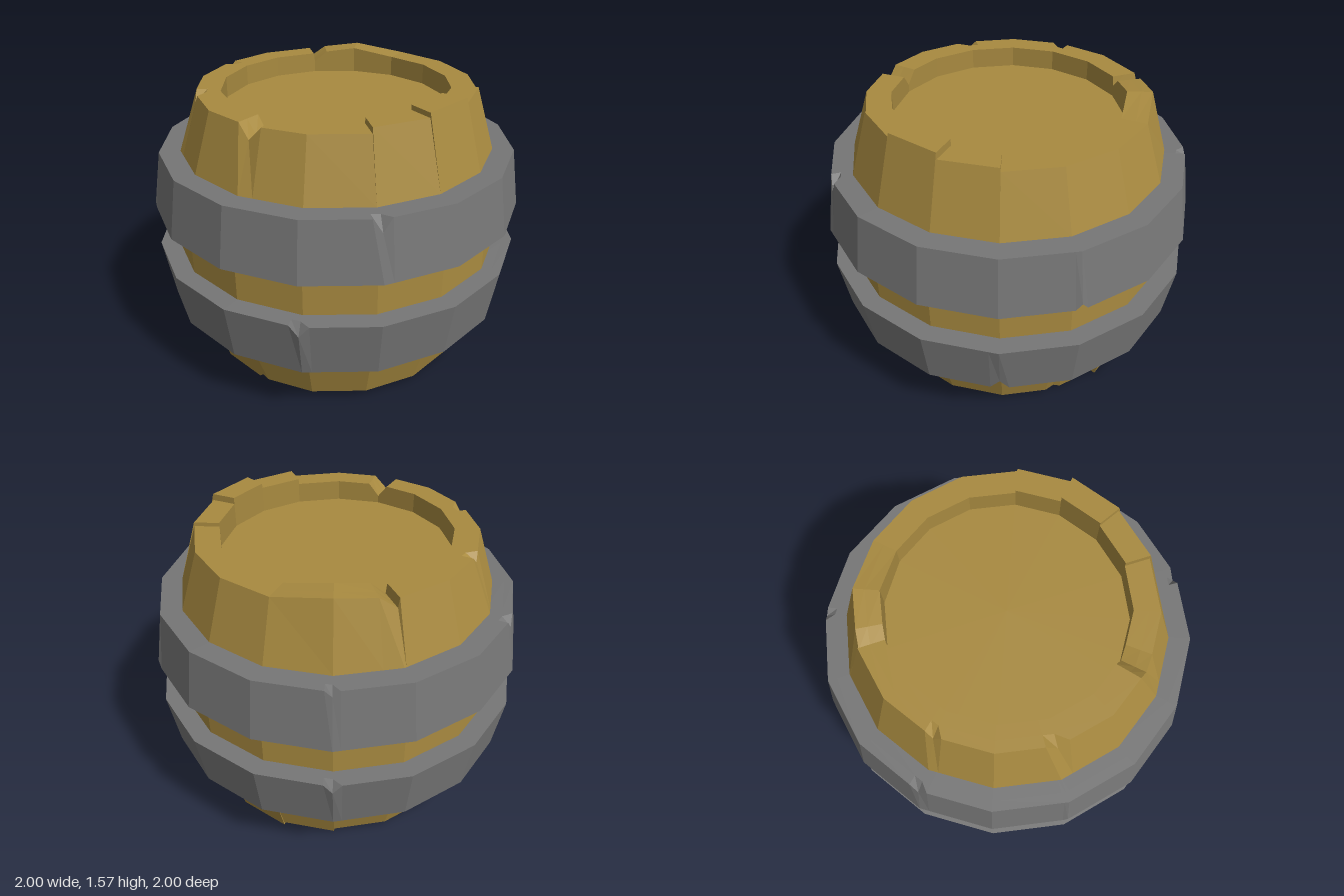
import * as THREE from 'three';

const SIDES = 16;
const wood = new THREE.MeshStandardMaterial({ color: 0xa88a40 });
wood.name = 'wood';
const iron = new THREE.MeshStandardMaterial({ color: 0x767676 });
iron.name = 'iron';

// Point on the 16-sided ring: t counts sides from +x towards +z
function ringPoint(t, r, y) {
  const k = Math.floor(t), f = t - k;
  const corner = (i) => {
    const a = (i * 2 * Math.PI) / SIDES;
    return new THREE.Vector3(r * Math.cos(a), y, r * Math.sin(a));
  };
  return corner(k).lerp(corner(k + 1), f);
}

// Adds the plain corners to a list of [t, outerOffset, innerOffset]
function stations(marks) {
  const all = [...marks];
  for (let t = 0; t <= SIDES; t++) {
    if (!marks.some((m) => m[0] === t)) all.push([t, 0, 0]);
  }
  return all.sort((a, b) => a[0] - b[0]);
}

// A small V cut in an edge, centred on side position t
const chip = (t, half, outer, inner = 0) => [[t - half, 0, 0], [t, outer, inner], [t + half, 0, 0]];

// Sweeps profile(outer, inner) -> [[r, y], ...] around the ring
function sweep(name, material, marks, profile) {
  const rows = stations(marks).map(([t, o, i]) => profile(o, i).map(([r, y]) => ringPoint(t, r, y)));
  const pos = [];
  const tri = (a, b, c) => {
    const n = b.clone().sub(a).cross(c.clone().sub(a));
    if (n.length() > 1e-8) for (const p of [a, b, c]) pos.push(p.x, p.y, p.z);
  };
  for (let s = 0; s < rows.length - 1; s++) {
    for (let j = 0; j < rows[s].length - 1; j++) {
      const a = rows[s][j], b = rows[s][j + 1], c = rows[s + 1][j + 1], d = rows[s + 1][j];
      tri(a, b, c);
      tri(a, c, d);
    }
  }
  const geo = new THREE.BufferGeometry();
  geo.setAttribute('position', new THREE.Float32BufferAttribute(pos, 3));
  geo.computeVertexNormals();
  const mesh = new THREE.Mesh(geo, material);
  mesh.name = name;
  return mesh;
}

export function createModel() {
  const group = new THREE.Group();
  group.name = 'barrel';

  // Upper staves, uneven rim and sunken lid
  const topMarks = [
    [0, 0.02, 0.02], [0, 0.055, 0.055], [1, 0.055, 0.055], [1, 0.03, 0.03],
    [2, 0.03, 0.03], [2, 0, 0],
    ...chip(4, 0.23, -0.07, -0.07),
    ...chip(6, 0.2, -0.05),
    ...chip(8, 0.15, -0.04),
    [9.97, 0, 0], [10, -0.05, -0.05], [10.3, 0.01, 0.01], [11, 0.03, 0.03],
    [15, 0, 0], [15, 0.02, 0.02], [16, 0.02, 0.02],
  ];
  group.add(sweep('upperStaves', wood, topMarks, (o, i) => [
    [0.9, 0.78], [0.9, 0.89], [0.84, 1.2], [0.738, 1.51 + o],
    [0.68, 1.51 + i], [0.607, 1.51 + i], [0.607, 1.4], [0, 1.4],
  ]));

  // Lower staves, uneven foot and sunken base
  const bottomMarks = [
    ...chip(4, 0.1, 0.025, 0.025),
    [6, -0.04, -0.035], [7, 0.02, 0],
    [11, 0, 0], [11, -0.02, -0.02], [12, -0.02, -0.02], [12, -0.04, -0.04],
    [13, -0.04, -0.04], [13, 0, 0],
    ...chip(14, 0.15, 0.035, 0.035),
  ];
  group.add(sweep('lowerStaves', wood, bottomMarks, (o, i) => [
    [0, 0.15], [0.607, 0.15], [0.607, 0.04 + i], [0.68, 0.04 + i],
    [0.738, 0.04 + o], [0.84, 0.36], [0.9, 0.66], [0.9, 0.78],
  ]));

  // Iron hoops: outer offsets chip the top edge, inner offsets the bottom edge
  const upperMarks = [
    ...chip(2, 0.13, -0.07), ...chip(8, 0.13, -0.05), ...chip(11, 0.1, -0.03),
    ...chip(6, 0.06, 0, 0.025), ...chip(14, 0.08, 0, 0.035),
  ];
  const lowerMarks = [
    ...chip(3, 0.13, -0.055), ...chip(11, 0.12, -0.045),
    ...chip(6, 0.13, 0, 0.055), ...chip(15, 0.13, 0, 0.055),
  ];
  const hoop = (name, marks, y0, r0, y1, r1) =>
    group.add(sweep(name, iron, marks, (o, i) => [
      [0.82, y0], [r0 - 0.05, y0], [r0, y0 + i], [r1, y1 + o], [r1 - 0.05, y1], [0.82, y1],
    ]));
  hoop('upperHoop', upperMarks, 0.89, 1.0, 1.2, 0.952);
  hoop('lowerHoop', lowerMarks, 0.355, 0.952, 0.66, 1.0);

  return group;
}
